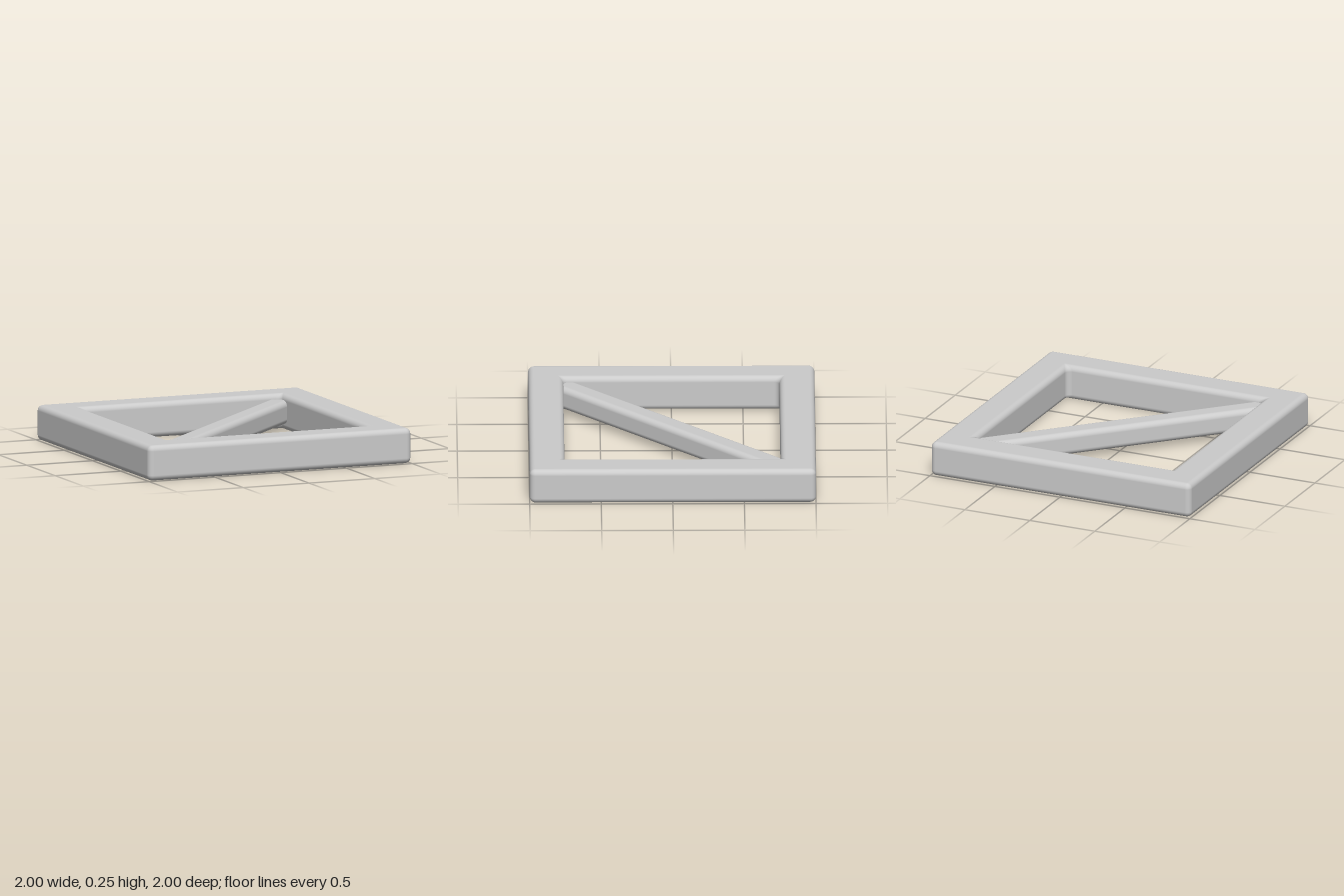
import * as THREE from 'three';
import { RoundedBoxGeometry } from 'three/addons/geometries/RoundedBoxGeometry.js';

const HEIGHT = 0.25;  // frame thickness
const OUTER = 1;      // half size of the frame
const INNER = 0.755;  // half size of the opening
const R = 0.04;       // edge rounding
const STEPS = 6;      // segments per rounded edge

// Square frame lofted from rounded-square rings, with every edge softened
function frameGeometry() {
  const rings = [];
  for (const [half, sign, way] of [[OUTER, 1, 1], [INNER, -1, -1]]) {
    for (const end of [-way, way]) {
      for (let k = 0; k <= STEPS; k++) {
        const t = (Math.PI / 2) * (end === -way ? 1 - k / STEPS : k / STEPS);
        rings.push({
          half: half - sign * R * (1 - Math.cos(t)),
          corner: R * Math.cos(t),
          y: HEIGHT / 2 + end * (HEIGHT / 2 - R + R * Math.sin(t)),
          radial: sign * Math.cos(t),
          up: end * Math.sin(t),
        });
      }
    }
  }

  const positions = [], normals = [], indices = [];
  for (const { half, corner, y, radial, up } of rings) {
    for (let q = 0; q < 4; q++) {
      const mid = (q + 0.5) * Math.PI / 2;
      const cx = Math.sign(Math.cos(mid)) * (half - corner);
      const cz = Math.sign(Math.sin(mid)) * (half - corner);
      for (let k = 0; k <= STEPS; k++) {
        const a = (q + k / STEPS) * Math.PI / 2;
        positions.push(cx + corner * Math.cos(a), y, cz + corner * Math.sin(a));
        normals.push(radial * Math.cos(a), up, radial * Math.sin(a));
      }
    }
  }

  // Join neighbouring rings, closing both ways
  const n = 4 * (STEPS + 1);
  for (let i = 0; i < rings.length; i++) {
    const next = (i + 1) % rings.length;
    for (let j = 0; j < n; j++) {
      const j2 = (j + 1) % n;
      const a = i * n + j, b = next * n + j, c = next * n + j2, d = i * n + j2;
      indices.push(a, b, d, b, c, d);
    }
  }

  const geometry = new THREE.BufferGeometry();
  geometry.setAttribute('position', new THREE.Float32BufferAttribute(positions, 3));
  geometry.setAttribute('normal', new THREE.Float32BufferAttribute(normals, 3));
  geometry.setIndex(indices);
  return geometry;
}

export function createModel() {
  const group = new THREE.Group();
  const material = new THREE.MeshStandardMaterial({ color: 0xcccccc });

  const frame = new THREE.Mesh(frameGeometry(), material);
  frame.name = 'squareFrame';
  group.add(frame);

  // Diagonal bar from front right to back left, its ends buried in the frame
  const brace = new THREE.Mesh(new RoundedBoxGeometry(2.3, 0.165, 0.165, 5, R), material);
  brace.name = 'diagonalBrace';
  brace.position.y = 0.13;
  brace.rotation.y = Math.PI / 4;
  group.add(brace);

  return group;
}
